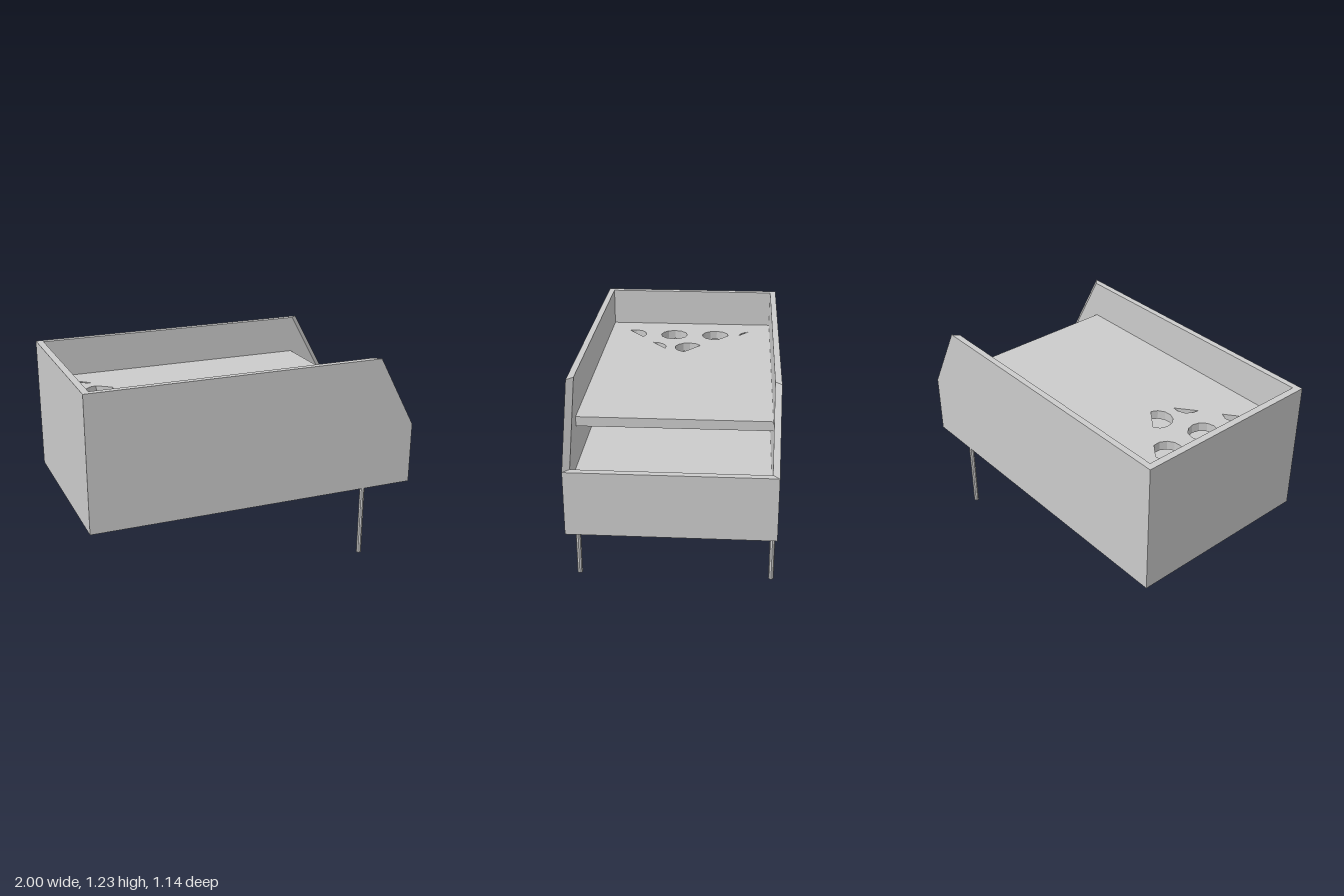
import * as THREE from 'three';

const material = new THREE.MeshStandardMaterial({ color: 0xcccccc, flatShading: true });
const L = 1, W = 0.57, T = 0.04;            // half length, half width, wall thickness
const BOTTOM = 0.43, LOW = 0.8, TOP = 1.23, FLOOR = 0.72;
const IL = L - T, IW = W - 0.036;           // inner half length and half width

function add(group, name, geometry, x = 0, y = 0, z = 0) {
  const mesh = new THREE.Mesh(geometry, material);
  mesh.name = name;
  mesh.position.set(x, y, z);
  group.add(mesh);
  return mesh;
}

// Solid panel between an outer outline (counter-clockwise from outside) and its matching inner outline
function panel(outer, inner) {
  const n = outer.length, index = [];
  for (let i = 1; i < n - 1; i++) {
    index.push(0, i, i + 1, n, n + i + 1, n + i);
  }
  for (let i = 0; i < n; i++) {
    const j = (i + 1) % n;
    index.push(i, n + i, n + j, i, n + j, j);
  }
  const geometry = new THREE.BufferGeometry();
  geometry.setAttribute('position', new THREE.Float32BufferAttribute([...outer, ...inner].flat(), 3));
  geometry.setIndex(index);
  const flat = geometry.toNonIndexed();
  flat.computeVertexNormals();
  return flat;
}

// Side wall outline with a sloping cut at the low end
const sideOutline = (l, z) => [
  [-l, BOTTOM, z], [l, BOTTOM, z], [l, LOW, z], [l - 0.235, TOP, z], [-l, TOP, z],
];

// End wall outline, seen from +x when side is 1 and from -x when side is -1
const endOutline = (side, l, w, top) => [
  [side * l, BOTTOM, side * w], [side * l, BOTTOM, -side * w],
  [side * l, top, -side * w], [side * l, top, side * w],
];

// Deck openings: centre x, centre z, start and end angle in degrees (closed by a chord)
const openings = [
  [-0.715, -0.415, 96, 165],
  [-0.715, -0.172, -15, 270],
  [-0.715, 0.103, 0, 360],
  [-0.715, 0.378, 158, 308],
  [-0.46, -0.006, 15, 240],
  [-0.46, 0.225, 177, 287],
];

function deckGeometry(x0, x1, thickness) {
  const shape = new THREE.Shape([
    new THREE.Vector2(x0, -IW), new THREE.Vector2(x1, -IW),
    new THREE.Vector2(x1, IW), new THREE.Vector2(x0, IW),
  ]);
  for (const [cx, cz, from, to] of openings) {
    const steps = Math.max(3, Math.round((to - from) / 30));
    const count = to - from === 360 ? steps : steps + 1;
    const points = [];
    for (let i = 0; i < count; i++) {
      const a = THREE.MathUtils.degToRad(from + (to - from) * i / steps);
      points.push(new THREE.Vector2(cx + 0.087 * Math.cos(a), -(cz + 0.087 * Math.sin(a))));
    }
    shape.holes.push(new THREE.Path(points));
  }
  return new THREE.ExtrudeGeometry(shape, { depth: thickness, bevelEnabled: false }).rotateX(-Math.PI / 2);
}

export function createModel() {
  const model = new THREE.Group();
  model.name = 'gameTable';

  // Mitred walls around the body
  add(model, 'frontWall', panel(sideOutline(L, W), sideOutline(IL, IW)));
  add(model, 'backWall', panel(sideOutline(L, -W).reverse(), sideOutline(IL, -IW).reverse()));
  add(model, 'lowEndWall', panel(endOutline(1, L, W, LOW), endOutline(1, IL, IW, LOW)));
  add(model, 'highEndWall', panel(endOutline(-1, L, W, TOP), endOutline(-1, IL, IW, TOP)));

  // Base block whose top is the lower floor
  add(model, 'base', new THREE.BoxGeometry(2 * IL, FLOOR - BOTTOM, 2 * IW), 0, (FLOOR + BOTTOM) / 2, 0);

  // Raised playing deck with openings
  add(model, 'deck', deckGeometry(-IL, 0.72, 0.055), 0, 0.945, 0);

  // Pair of thin legs near the low end
  for (const side of [1, -1]) {
    const name = side > 0 ? 'frontLeg' : 'backLeg';
    add(model, name, new THREE.CylinderGeometry(0.015, 0.015, BOTTOM, 8), 0.687, BOTTOM / 2, side * 0.556);
  }
  return model;
}
